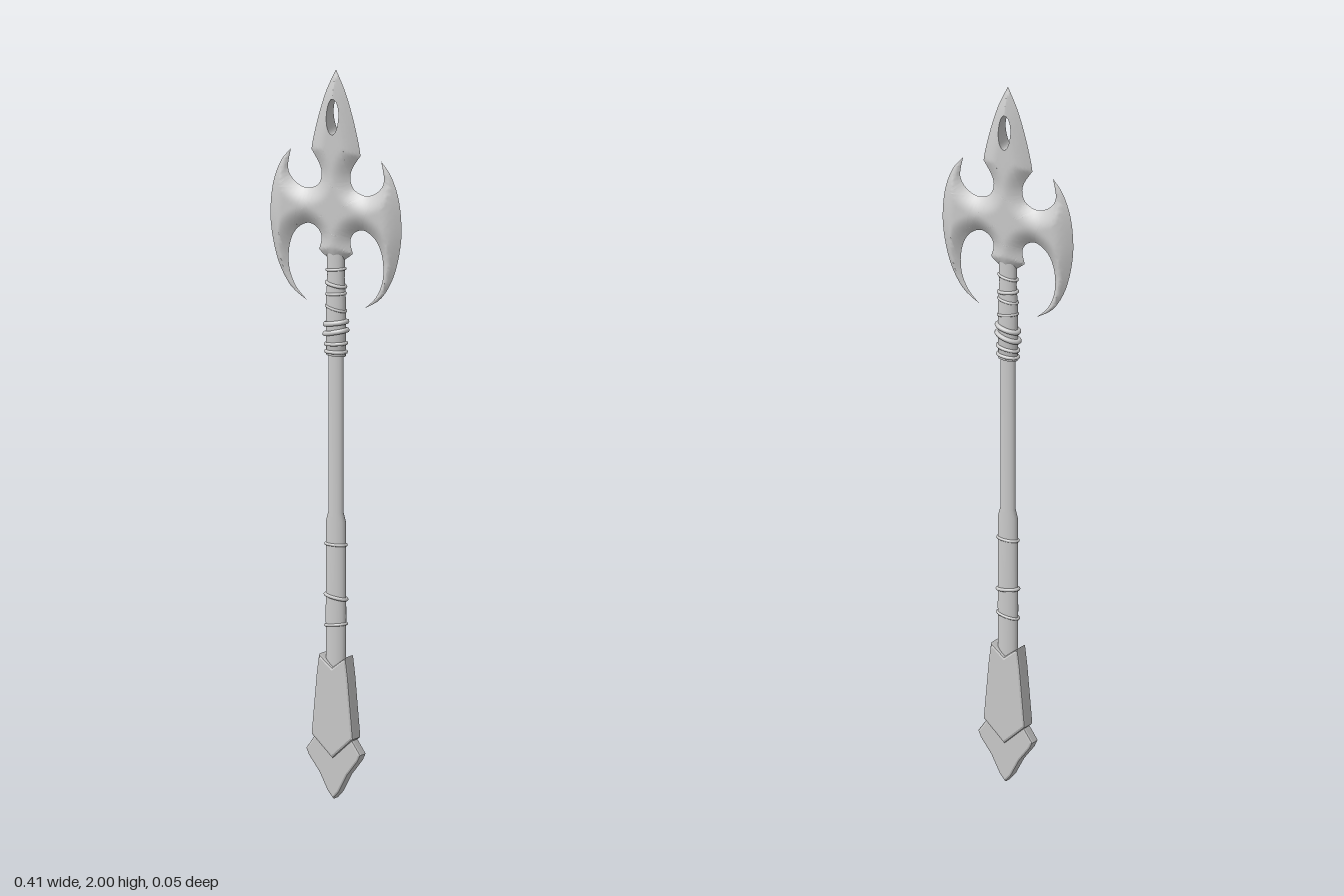
import * as THREE from 'three';
import { mergeVertices } from 'three/addons/utils/BufferGeometryUtils.js';

const steel = new THREE.MeshStandardMaterial({ color: 0xcccccc });
steel.name = 'pale steel';
const steelInside = steel.clone();
steelInside.name = 'pale steel two-sided';
steelInside.side = THREE.DoubleSide;

const vec = ([x, y]) => new THREE.Vector2(x, y);
const mirrored = (half) => [...half, ...half.slice(1, -1).reverse().map((p) => new THREE.Vector2(-p.x, p.y))];

function add(group, name, geometry, material = steel) {
  const mesh = new THREE.Mesh(geometry, material);
  mesh.name = name;
  group.add(mesh);
  return mesh;
}

// Right half of the blade outline: each row is one smooth run between sharp corners
const runs = [
  [[0, 2], [0.03, 1.94], [0.054, 1.87], [0.071, 1.805], [0.077, 1.772]],
  [[0.077, 1.772], [0.052, 1.735], [0.045, 1.705], [0.058, 1.676], [0.095, 1.664], [0.132, 1.68], [0.151, 1.712], [0.142, 1.765]],
  [[0.142, 1.765], [0.172, 1.73], [0.195, 1.675], [0.205, 1.61], [0.203, 1.54], [0.182, 1.455], [0.143, 1.39], [0.09, 1.355]],
  [[0.09, 1.355], [0.126, 1.39], [0.147, 1.44], [0.146, 1.5], [0.126, 1.545], [0.09, 1.568], [0.06, 1.56], [0.045, 1.535], [0.053, 1.5]],
  [[0.053, 1.5], [0.03, 1.483], [0, 1.465]],
];
const half = [];
for (const run of runs) {
  const pts = new THREE.SplineCurve(run.map(vec)).getPoints((run.length - 1) * 4);
  half.push(...(half.length ? pts.slice(1) : pts));
}
const outline = mirrored(half);

// Blade half thickness grows with the distance from the cutting edge
function thickness(x, y) {
  let best = Infinity;
  outline.forEach((a, i) => {
    const b = outline[(i + 1) % outline.length];
    const dx = b.x - a.x, dy = b.y - a.y;
    const t = THREE.MathUtils.clamp(((x - a.x) * dx + (y - a.y) * dy) / (dx * dx + dy * dy), 0, 1);
    best = Math.min(best, Math.hypot(x - a.x - t * dx, y - a.y - t * dy));
  });
  if (best < 1e-6) return 0;
  return 0.022 * Math.sin(Math.min(1, best / 0.05) * Math.PI / 2);
}

// One bulging face: split long edges of the flat shape, then raise the points
function bladeFace(hole) {
  const shape = new THREE.Shape(outline);
  shape.holes.push(new THREE.Path(hole));
  const flat = new THREE.ShapeGeometry(shape).toNonIndexed().attributes.position;
  const pos = [];
  const split = (a, b, c) => {
    const ab = a.distanceTo(b), bc = b.distanceTo(c), ca = c.distanceTo(a);
    const longest = Math.max(ab, bc, ca);
    if (longest <= 0.012) {
      for (const p of [a, b, c]) pos.push(p.x, p.y, thickness(p.x, p.y));
    } else if (longest === ab) {
      const m = a.clone().add(b).multiplyScalar(0.5);
      split(a, m, c); split(m, b, c);
    } else if (longest === bc) {
      split(b, c, a);
    } else {
      split(c, a, b);
    }
  };
  const at = (i) => new THREE.Vector2(flat.getX(i), flat.getY(i));
  for (let i = 0; i < flat.count; i += 3) split(at(i), at(i + 1), at(i + 2));
  const g = new THREE.BufferGeometry();
  g.setAttribute('position', new THREE.Float32BufferAttribute(pos, 3));
  const merged = mergeVertices(g, 1e-5);
  merged.computeVertexNormals();
  return merged;
}

// Wall through the eye of the spear point
function eyeWall(hole) {
  const pos = [], index = [];
  hole.forEach((p, i) => {
    const z = thickness(p.x, p.y), k = 2 * i, n = 2 * ((i + 1) % hole.length);
    pos.push(p.x, p.y, z, p.x, p.y, -z);
    index.push(k, k + 1, n, n, k + 1, n + 1);
  });
  const g = new THREE.BufferGeometry();
  g.setAttribute('position', new THREE.Float32BufferAttribute(pos, 3));
  g.setIndex(index);
  g.computeVertexNormals();
  return g;
}

// Oval turned section of the pole
function oval(profile, depth) {
  const g = new THREE.LatheGeometry(profile.map(vec), 20);
  g.scale(1, 1, depth);
  return g;
}

// Bevelled plate of the butt, with half outline and half thickness
function plate(halfPoints, z, bevel) {
  const g = new THREE.ExtrudeGeometry(new THREE.Shape(mirrored(halfPoints.map(vec))), {
    depth: 2 * (z - bevel), bevelThickness: bevel, bevelSize: bevel, bevelOffset: -bevel, bevelSegments: 2,
  });
  g.translate(0, 0, bevel - z);
  return g;
}

export function createModel() {
  const group = new THREE.Group();
  group.name = 'doubleAxe';

  // Axe head with spear point
  const head = new THREE.Group();
  head.name = 'axeHead';
  group.add(head);
  const hole = [];
  for (let i = 0; i < 24; i++) {
    const a = (i / 24) * Math.PI * 2;
    hole.push(new THREE.Vector2(0.019 * Math.cos(a), 1.873 + 0.049 * Math.sin(a)));
  }
  const face = bladeFace(hole);
  add(head, 'bladeFront', face);
  add(head, 'bladeBack', face).rotation.y = Math.PI;
  add(head, 'spearEye', eyeWall(hole), steelInside);

  // Pole: lower grip, slim middle, wrapped neck
  add(group, 'pole', oval([[0.03, 0.3], [0.031, 0.5], [0.03, 0.76], [0.023, 0.785], [0.023, 1.23]], 0.48));
  add(group, 'neck', oval([[0, 1.215], [0.029, 1.215], [0.03, 1.3], [0.03, 1.36], [0.026, 1.43], [0.027, 1.5]], 0.55));

  // Cord windings: height, half width, half depth, cord radius, tilt
  const windings = [
    [1.452, 0.028, 0.014, 0.004, 0.15], [1.41, 0.028, 0.016, 0.005, -0.15], [1.385, 0.028, 0.016, 0.004, 0.12],
    [1.345, 0.029, 0.016, 0.004, -0.2], [1.305, 0.032, 0.018, 0.007, 0.2], [1.28, 0.033, 0.018, 0.007, 0.25],
    [1.248, 0.031, 0.017, 0.005, 0.12], [1.226, 0.03, 0.017, 0.005, 0.05],
    [0.697, 0.031, 0.015, 0.004, 0.02], [0.553, 0.032, 0.015, 0.005, -0.15], [0.477, 0.032, 0.015, 0.004, 0.15],
  ];
  windings.forEach(([y, rx, rz, r, tilt], i) => {
    const ring = Array.from({ length: 20 }, (_, k) => {
      const a = (k / 20) * Math.PI * 2;
      return new THREE.Vector3(rx * Math.cos(a), y + tilt * rx * Math.cos(a), rz * Math.sin(a));
    });
    add(group, 'cordWinding' + (i + 1), new THREE.TubeGeometry(new THREE.CatmullRomCurve3(ring, true), 40, r, 8, true));
  });

  // Butt: tapered socket over a pointed end
  add(group, 'buttSocket', plate([[0, 0.362], [0.042, 0.394], [0.05, 0.34], [0.066, 0.172], [0, 0.112]], 0.022, 0.007));
  add(group, 'buttPoint', plate([[0, 0.19], [0.056, 0.172], [0.086, 0.13], [0.078, 0.112], [0.045, 0.07], [0.018, 0.02], [0, 0]], 0.016, 0.006));

  return group;
}
